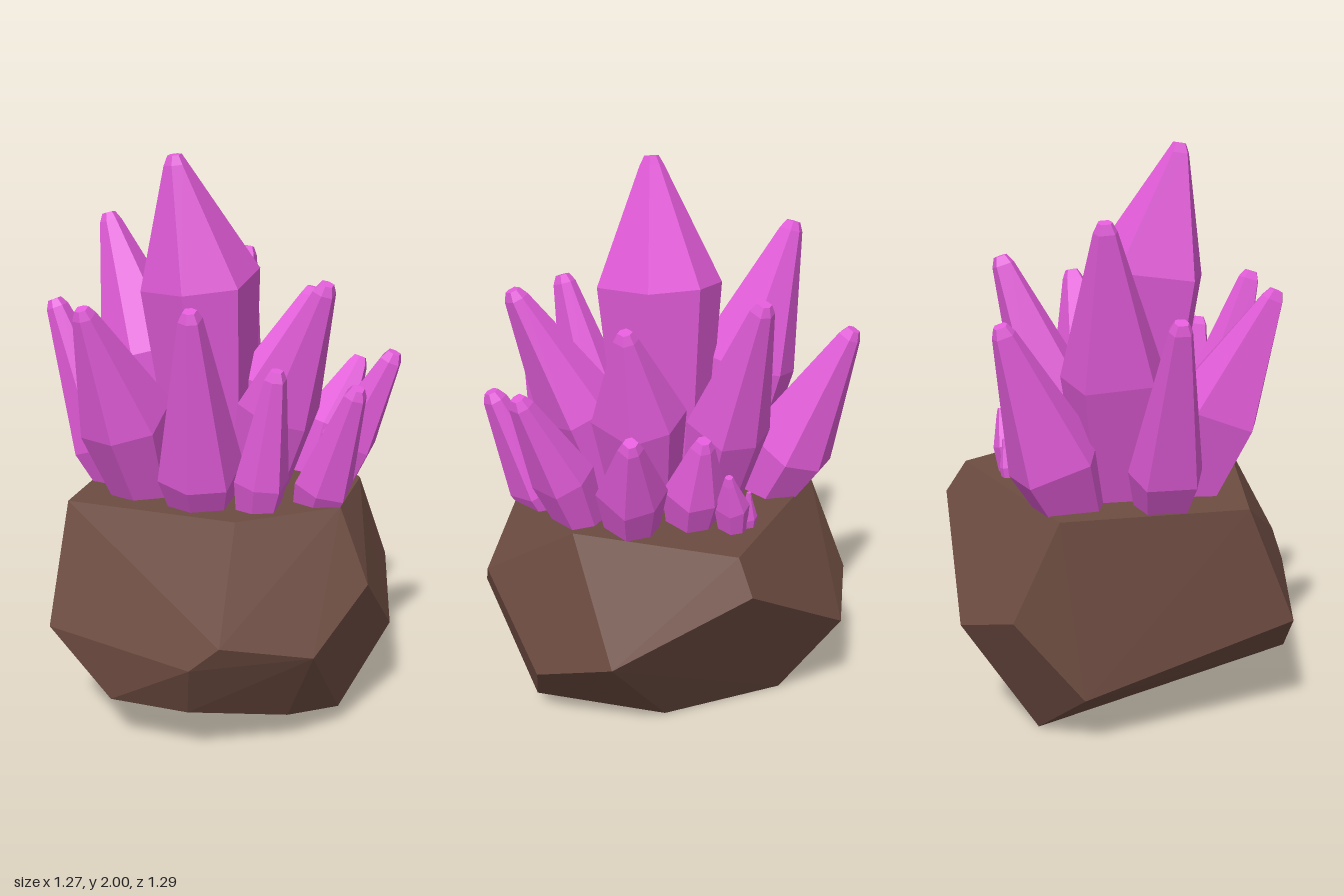
import * as THREE from 'three';
import { ConvexGeometry } from 'three/addons/geometries/ConvexGeometry.js';

const rockMaterial = new THREE.MeshStandardMaterial({ color: 0x6d4c41, flatShading: true });
const crystalMaterial = new THREE.MeshStandardMaterial({ color: 0xe25cd9, flatShading: true });

// Corners of the faceted rock
const rockCorners = [
  // flat top
  [-0.46, 0.82, 0.33], [0.19, 0.86, 0.44], [0.49, 0.87, 0.22],
  [0.49, 0.87, -0.1], [0.18, 0.855, -0.57], [-0.485, 0.825, -0.31],
  // widest belt
  [-0.47, 0.41, 0.495], [0.1, 0.41, 0.645], [0.2, 0.5, 0.635], [0.47, 0.43, 0.47],
  [0.6, 0.62, 0.26], [0.63, 0.34, -0.05], [0.55, 0.48, -0.36],
  [0.19, 0.74, -0.645], [-0.31, 0.42, -0.63], [-0.515, 0.5, -0.47],
  // underside
  [-0.53, 0.21, -0.24], [-0.22, 0.2, 0.55], [0.06, 0.2, 0.55], [0.35, 0.12, 0.33],
  [0.49, 0.08, 0.15], [0.16, 0.01, -0.2], [-0.29, 0, -0.37],
];

// Each crystal: shoulder centre, tip, shoulder radius
const crystals = [
  // tall middle ones
  [[-0.055, 1.58, 0.06], [-0.11, 2, 0.16], 0.2],
  [[-0.32, 1.28, -0.11], [-0.49, 1.77, -0.16], 0.17],
  [[0.25, 1.18, 0.14], [0.43, 1.62, 0.25], 0.14],
  [[0.18, 1.2, -0.09], [0.29, 1.54, -0.15], 0.15],
  // outer ring
  [[0.02, 0.97, 0.29], [0.05, 1.55, 0.47], 0.14],
  [[-0.26, 1.12, 0.26], [-0.33, 1.53, 0.44], 0.155],
  [[-0.42, 0.96, 0.05], [-0.62, 1.48, 0.05], 0.125],
  [[-0.07, 1.15, -0.27], [-0.04, 1.63, -0.44], 0.135],
  [[-0.35, 1.0, -0.31], [-0.455, 1.46, -0.48], 0.155],
  [[0.46, 1.04, -0.02], [0.61, 1.36, 0], 0.1],
  [[0.42, 0.93, 0.17], [0.54, 1.29, 0.25], 0.1],
  [[0.235, 0.96, 0.29], [0.295, 1.35, 0.34], 0.09],
  [[0.34, 1.02, -0.23], [0.43, 1.26, -0.33], 0.11],
  // small ones at the back
  [[0.13, 0.98, -0.31], [0.16, 1.2, -0.38], 0.1],
  [[0.06, 0.94, -0.42], [0.1, 1.07, -0.44], 0.055],
  [[-0.01, 0.88, -0.43], [0, 0.98, -0.44], 0.03],
];
const ROOT_Y = 0.78;

// Six-sided column swelling to a shoulder, then tapering to a small blunt tip
function crystalGeometry(shoulder, tip, radius) {
  const s = new THREE.Vector3(...shoulder);
  const t = new THREE.Vector3(...tip);
  // the root continues the lean of the tip down into the rock, up to a limit
  const lean = Math.min(0.6, (s.y - ROOT_Y) / (t.y - s.y));
  const b = s.clone().lerp(t, -lean).setY(ROOT_Y);
  const axis = t.clone().sub(b).normalize();
  const turn = new THREE.Quaternion().setFromUnitVectors(new THREE.Vector3(0, 1, 0), axis);
  const neckRadius = Math.min(0.038, radius * 0.4);
  const rings = [
    [b, radius * 0.68],
    [s, radius],
    [t.clone().addScaledVector(axis, -0.03), neckRadius],
    [t, neckRadius * 0.6],
  ];
  const geometry = new THREE.CylinderGeometry(1, 1, 3, 6, 3);
  const position = geometry.attributes.position;
  const v = new THREE.Vector3();
  for (let i = 0; i < position.count; i++) {
    v.fromBufferAttribute(position, i);
    const [centre, r] = rings[Math.round(v.y + 1.5)];
    // widen the two side faces for a boxier section
    v.z = Math.sign(v.z) * Math.abs(v.z) ** 0.6;
    v.setY(0).multiplyScalar(r).applyQuaternion(turn).add(centre);
    position.setXYZ(i, v.x, v.y, v.z);
  }
  geometry.computeVertexNormals();
  return geometry;
}

export function createModel() {
  const model = new THREE.Group();
  model.name = 'crystalCluster';

  const rock = new THREE.Mesh(
    new ConvexGeometry(rockCorners.map((p) => new THREE.Vector3(...p))), rockMaterial);
  rock.name = 'rock';
  model.add(rock);

  const cluster = new THREE.Group();
  cluster.name = 'crystals';
  crystals.forEach((spec, i) => {
    const crystal = new THREE.Mesh(crystalGeometry(...spec), crystalMaterial);
    crystal.name = `crystal${i + 1}`;
    cluster.add(crystal);
  });
  model.add(cluster);
  return model;
}
